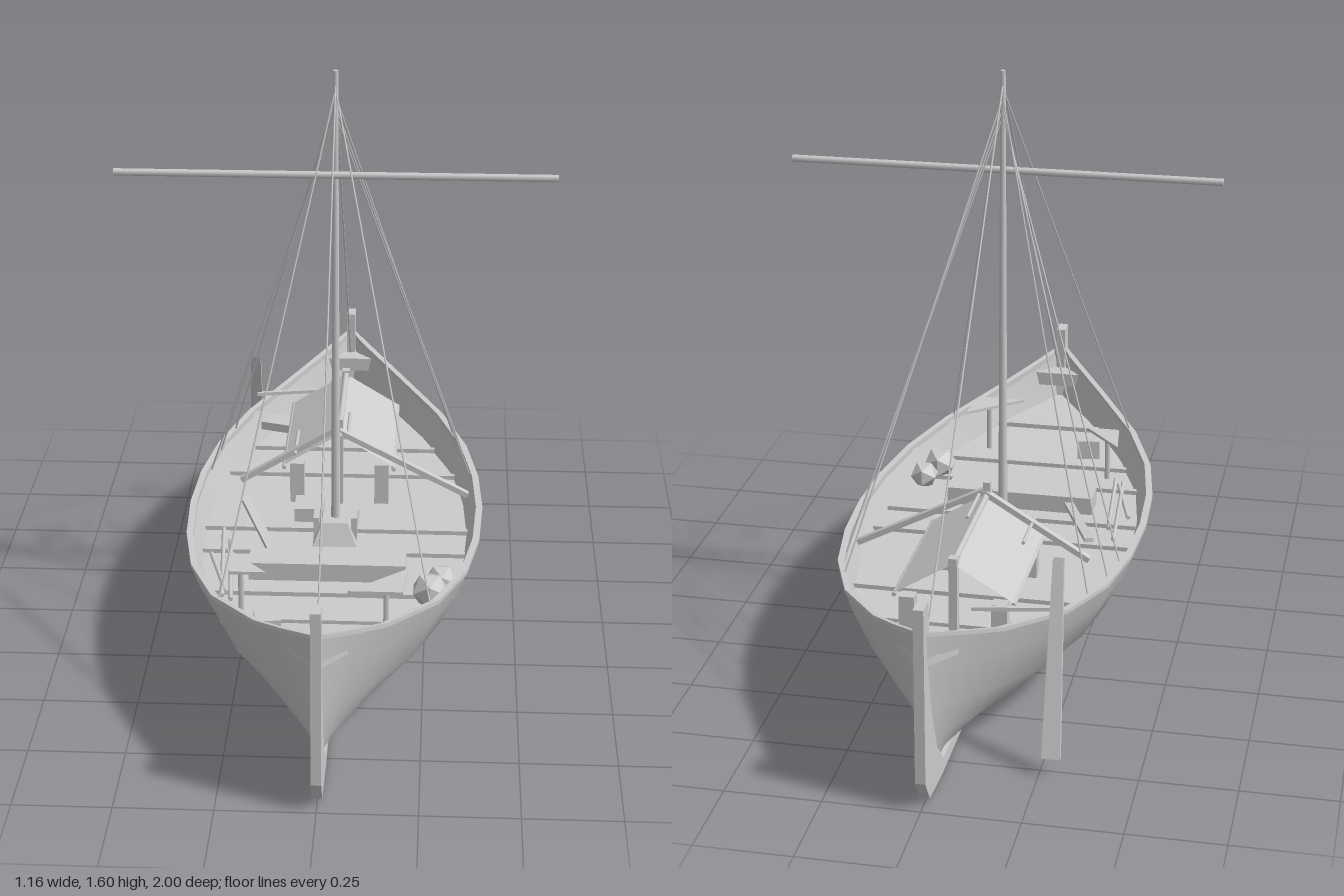
import * as THREE from 'three';

const grey = new THREE.MeshStandardMaterial({ color: 0xcccccc, side: THREE.DoubleSide });
const flat = new THREE.MeshStandardMaterial({ color: 0xcccccc, side: THREE.DoubleSide, flatShading: true });

// Hull lines: half breadth and sheer height from midship (0) to stem (1)
const S = [0, 0.2, 0.4, 0.6, 0.8, 0.9, 1];
const BREADTH = [0.405, 0.395, 0.362, 0.29, 0.165, 0.088, 0.008];
const SHEER = [0.35, 0.351, 0.356, 0.372, 0.41, 0.443, 0.48];
const END = 0.985;
// Cross-section rows from keel to gunwale
const ROW_W = [0.01, 0.28, 0.55, 0.82, 0.95, 1];
const ROW_H = [0, 0.1, 0.25, 0.5, 0.81, 1];
const ROW_END = [0.83, 0.875, 0.91, 0.945, 0.97, END];

function lerpTable(table, s) {
  const t = Math.min(Math.abs(s), 1);
  let i = 0;
  while (i < S.length - 2 && t > S[i + 1]) i++;
  return THREE.MathUtils.lerp(table[i], table[i + 1], (t - S[i]) / (S[i + 1] - S[i]));
}
const breadth = z => lerpTable(BREADTH, z / END);
const sheer = z => lerpTable(SHEER, z / END);
const floorY = z => 0.27 + Math.max(0, Math.abs(z) - 0.53) * 0.16;

// Surface through a grid of points
function grid(cols, rows, point) {
  const pos = [], index = [];
  for (let i = 0; i <= cols; i++) for (let j = 0; j <= rows; j++) pos.push(...point(i, j));
  for (let i = 0; i < cols; i++) for (let j = 0; j < rows; j++) {
    const a = i * (rows + 1) + j, b = a + rows + 1;
    index.push(a, b, a + 1, b, b + 1, a + 1);
  }
  const g = new THREE.BufferGeometry();
  g.setAttribute('position', new THREE.Float32BufferAttribute(pos, 3));
  g.setIndex(index);
  g.computeVertexNormals();
  return g;
}

export function createModel() {
  const root = new THREE.Group();
  const add = (name, geometry, material = flat, parent = root) => {
    const m = new THREE.Mesh(geometry, material);
    m.name = name;
    parent.add(m);
    return m;
  };
  const box = (name, w, h, d, x, y, z) => {
    const m = add(name, new THREE.BoxGeometry(w, h, d));
    m.position.set(x, y, z);
    return m;
  };
  // Round bar and flat plank between two points
  const bar = (name, a, b, r0, r1 = r0, sides = 8) => {
    const p = new THREE.Vector3(...a), q = new THREE.Vector3(...b), d = q.clone().sub(p);
    const m = add(name, new THREE.CylinderGeometry(r1, r0, d.length(), sides), grey);
    m.position.copy(p).add(q).multiplyScalar(0.5);
    m.quaternion.setFromUnitVectors(new THREE.Vector3(0, 1, 0), d.normalize());
    return m;
  };
  const plank = (name, a, b, w, t) => {
    const p = new THREE.Vector3(...a), q = new THREE.Vector3(...b);
    const m = add(name, new THREE.BoxGeometry(w, t, p.distanceTo(q)));
    m.position.copy(p).add(q).multiplyScalar(0.5);
    m.lookAt(q);
    return m;
  };

  // Hull shell, rail and inner wall, one side at a time
  const COLS = 40;
  for (const side of [-1, 1]) {
    const label = side > 0 ? 'left' : 'right';
    add(label + 'HullSide', grid(COLS, 5, (i, j) => {
      const s = -1 + 2 * i / COLS, a = Math.abs(s);
      const w = THREE.MathUtils.lerp(ROW_W[j], ROW_H[j], 0.35 * a * a);
      const keel = 0.027 + 0.02 * a ** 6;
      return [side * lerpTable(BREADTH, s) * w,
        keel + (lerpTable(SHEER, s) - keel) * ROW_H[j], s * ROW_END[j]];
    }), grey);
    add(label + 'Rail', grid(COLS, 3, (i, j) => {
      const z = (-1 + 2 * i / COLS) * END, b = breadth(z), y = sheer(z);
      return [side * Math.max(0, b - [0, 0, 0.018, 0.018][j]), y + [-0.006, 0.005, 0.005, -0.012][j], z];
    }));
    add(label + 'InnerWall', grid(COLS, 1, (i, j) => {
      const z = (-1 + 2 * i / COLS) * 0.95, b = breadth(z);
      return [side * Math.max(0, b - (j ? 0.014 : 0.042)), j ? sheer(z) : floorY(z), z];
    }), grey);
  }

  // Deck floor, rising towards both ends, and its cross beams
  add('deck', grid(COLS, 1, (i, j) => {
    const z = (-1 + 2 * i / COLS) * 0.95;
    return [(j ? 1 : -1) * Math.max(0, breadth(z) - 0.04), floorY(z), z];
  }));
  for (const z of [-0.74, -0.54, -0.36, 0, 0.14, 0.38, 0.53, 0.74])
    box('floorBeam', 2 * (breadth(z) - 0.04), 0.014, 0.016, 0, floorY(z) + 0.005, z);

  // Small decks at the bow and stern
  for (const e of [-1, 1]) {
    const w = breadth(0.89) - 0.012;
    const shape = new THREE.Shape([[-w, 0.89], [w, 0.89], [0.008, 0.97], [-0.008, 0.97]].map(p => new THREE.Vector2(...p)));
    const g = new THREE.ExtrudeGeometry(shape, { depth: 0.04, bevelEnabled: false });
    g.rotateX(Math.PI / 2);
    const m = add(e > 0 ? 'bowDeck' : 'sternDeck', g);
    m.position.y = 0.425;
    if (e < 0) m.rotation.y = Math.PI;
  }

  // Keel with stem and stern posts as one thin plate
  const half = [[0.8, 0.002], [0.955, 0.015], [1, 0.08], [1, 0.55], [0.945, 0.55], [0.945, 0.4], [0.925, 0.24], [0.87, 0.11], [0.8, 0.04]];
  const outline = [...half, ...half.map(([z, y]) => [-z, y]).reverse()];
  const keel = new THREE.ExtrudeGeometry(new THREE.Shape(outline.map(p => new THREE.Vector2(...p))),
    { depth: 0.026, bevelEnabled: false });
  keel.translate(0, 0, -0.013).rotateY(-Math.PI / 2);
  add('keelAndPosts', keel);

  // Mast, yard and mast step
  bar('mast', [0, 0.27, 0.025], [0, 1.6, 0.025], 0.013, 0.007, 10);
  bar('yard', [-0.58, 1.325, 0.047], [0.58, 1.325, 0.047], 0.01);
  const step = add('mastStep', new THREE.CylinderGeometry(0.05, 0.085, 0.06, 4).rotateY(Math.PI / 4));
  step.position.set(0, 0.3, 0.035);
  for (const x of [-0.052, 0.052]) {
    const g = new THREE.ExtrudeGeometry(new THREE.Shape([[-0.14, 0], [0.06, 0], [0.06, 0.07], [0, 0.07]].map(p => new THREE.Vector2(...p))),
      { depth: 0.016, bevelEnabled: false });
    add('mastCheek', g.translate(0, 0, -0.008).rotateY(-Math.PI / 2)).position.set(x, 0.27, 0);
  }

  // Stays and shrouds
  const rope = (name, top, end) => bar(name, [0, top, 0.025], end, 0.0025, 0.0025, 5);
  for (const e of [-1, 1]) rope(e > 0 ? 'foreStay' : 'backStay', 1.565, [0, 0.44, e * 0.91]);
  for (const side of [-1, 1])
    for (const [x, y, z, top] of [[0.27, 0.365, 0.615, 1.55], [0.37, 0.34, -0.24, 1.48], [0.355, 0.345, -0.35, 1.5], [0.325, 0.35, -0.48, 1.53]])
      rope('shroud', top, [side * x, y, z]);

  // Shelter: ridge, sloping roof panels, rafters and posts
  bar('shelterRidge', [0, 0.492, -0.14], [0, 0.492, -0.61], 0.009);
  for (const side of [-1, 1]) {
    add('roofPanel', grid(1, 1, (i, j) => [side * 0.155 * j, 0.488 - 0.095 * j, i ? -0.615 : -0.17]));
    bar('roofEave', [side * 0.155, 0.388, -0.16], [side * 0.155, 0.388, -0.615], 0.006);
    bar('roofBatten', [side * 0.025 - (side < 0 ? 0.1 : 0), side > 0 ? 0.485 : 0.425, -0.17],
      [side * 0.025 - (side < 0 ? 0.1 : 0), side > 0 ? 0.485 : 0.425, -0.33], 0.005);
    for (const z of [-0.2, -0.61]) box('shelterPost', 0.04, 0.12, 0.035, side * 0.12, 0.33, z);
  }
  plank('rightRafter', [0, 0.5, -0.2], [-0.28, 0.33, -0.2], 0.02, 0.015);
  plank('leftRafter', [0, 0.5, -0.17], [0.365, 0.31, -0.17], 0.02, 0.015);
  for (const z of [-0.19, -0.61]) box('ridgePost', 0.022, 0.24, 0.025, 0, 0.385, z);
  box('shelterFinial', 0.02, 0.06, 0.02, 0, 0.5, -0.19);
  box('shelterBench', 0.08, 0.04, 0.09, -0.08, 0.29, -0.1);

  // Steering oar and tiller
  const oar = add('steeringOar', grid(4, 4, (i, j) => {
    const t = i / 4, w = 0.014 + 0.01 * t, d = 0.008;
    const [cx, cz] = [[-1, -1], [1, -1], [1, 1], [-1, 1], [-1, -1]][j];
    return [-0.27 - 0.01 * t + cx * w, 0.53 - 0.48 * t, -0.62 - 0.145 * t + cz * d];
  }));
  oar.name = 'steeringOar';
  plank('tiller', [-0.27, 0.405, -0.645], [-0.06, 0.405, -0.685], 0.012, 0.01);
  box('helmSeat', 0.09, 0.025, 0.07, -0.2, 0.33, -0.6).rotation.y = -0.3;

  // Rowing bench and stowed spars
  box('bench', 0.42, 0.05, 0.09, -0.01, 0.295, 0.255);
  plank('loosePlank', [-0.26, 0.33, -0.08], [-0.13, 0.29, 0.28], 0.025, 0.012);
  for (const [x0, x1, z0, z1] of [[-0.31, -0.28, 0.03, 0.42], [-0.285, -0.255, 0.1, 0.44], [-0.33, -0.27, 0.18, 0.4]])
    bar('stowedSpar', [x0, 0.285, z0], [x1, 0.285, z1], 0.006);

  // Small triangular tables on single legs
  for (const [y, pts] of [[0.428, [[0.21, 0.52], [0.06, 0.65], [0.2, 0.65]]], [0.408, [[-0.265, 0.39], [-0.155, 0.52], [-0.25, 0.52]]]]) {
    const g = new THREE.ExtrudeGeometry(new THREE.Shape(pts.map(p => new THREE.Vector2(...p))), { depth: 0.008, bevelEnabled: false });
    add('tableTop', g.rotateX(Math.PI / 2)).position.y = y;
    const cx = (pts[0][0] + pts[1][0] + pts[2][0]) / 3, cz = (pts[0][1] + pts[1][1] + pts[2][1]) / 3;
    bar('tableLeg', [cx, 0.27, cz], [cx, y - 0.004, cz], 0.008, 0.008, 6);
  }

  // Cargo: sacks and a crate
  for (const [x, z, r] of [[0.265, 0.405, 0.05], [0.295, 0.33, 0.042]])
    add('sack', new THREE.IcosahedronGeometry(r, 0)).position.set(x, 0.27 + r * 0.75, z);
  box('crate', 0.065, 0.06, 0.06, -0.145, 0.305, 0.615).rotation.y = 0.15;

  return root;
}
